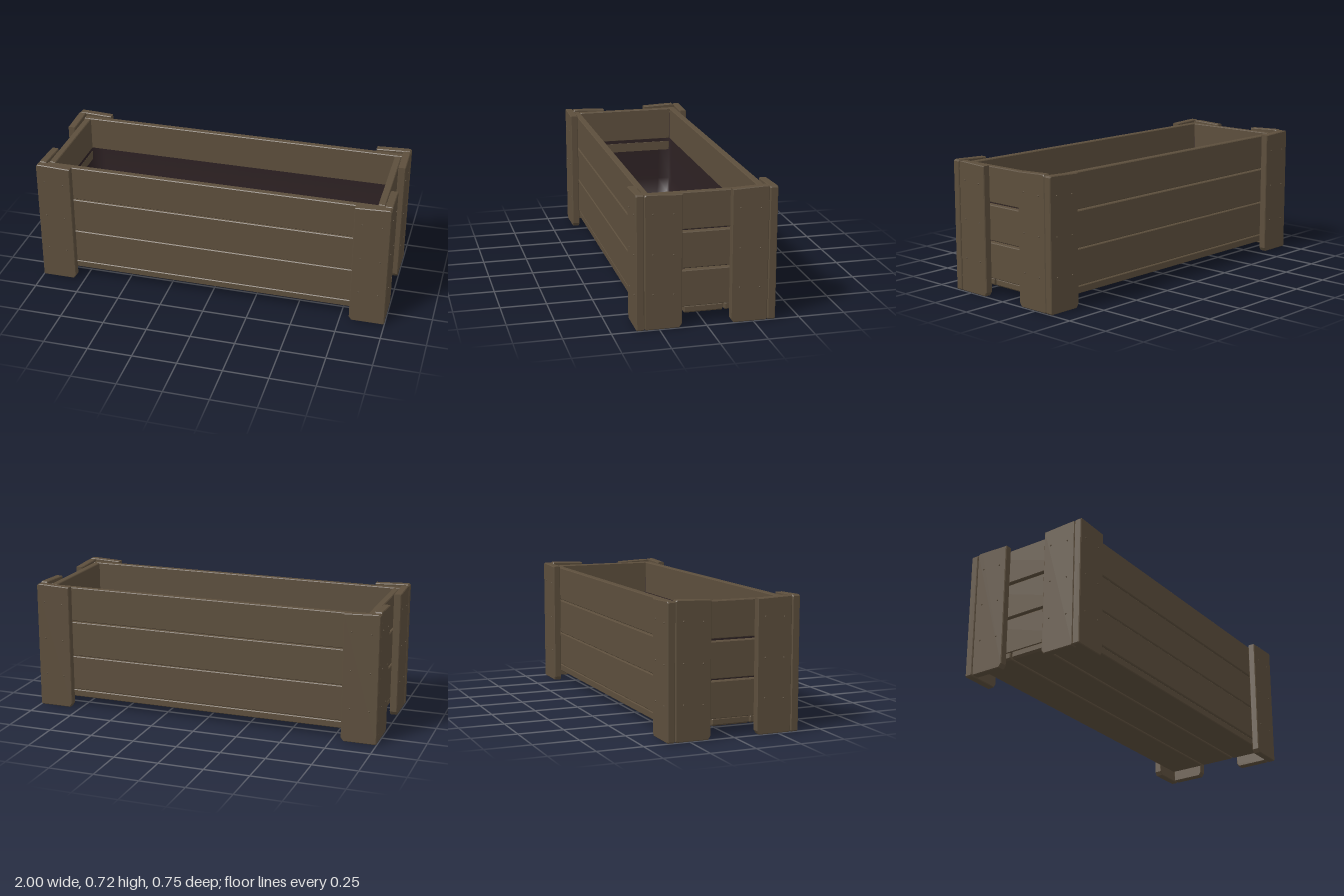
import * as THREE from 'three';

const wood = new THREE.MeshStandardMaterial({ color: 0x5c4e3c });
wood.name = 'weatheredWood';
const lining = new THREE.MeshStandardMaterial({ color: 0x2d2123, side: THREE.DoubleSide });
lining.name = 'darkLining';

// Board outline with clipped corners and bevelled edges; corners run
// bottom-left, bottom-right, top-right, top-left as [cutX, cutY].
function boardGeometry(w, h, d, cuts, bevel = 0.004) {
  const x = w / 2 - bevel, y = h / 2 - bevel;
  const [a, b, c, e] = cuts;
  const shape = new THREE.Shape([
    [-x + a[0], -y], [x - b[0], -y], [x, -y + b[1]], [x, y - c[1]],
    [x - c[0], y], [-x + e[0], y], [-x, y - e[1]], [-x, -y + a[1]],
  ].map(p => new THREE.Vector2(...p)));
  const geo = new THREE.ExtrudeGeometry(shape, {
    depth: d - 2 * bevel, bevelEnabled: true, bevelSize: bevel, bevelThickness: bevel, bevelSegments: 1,
  });
  return geo.translate(0, 0, -d / 2 + bevel);
}

const plankCuts = Array(4).fill([0.002, 0.002]);
const floorCuts = [[0.01, 0.008], [0.01, 0.008], [0.002, 0.002], [0.002, 0.002]];
// Posts have a chipped lower inner corner and a top sloping down inwards
const innerRight = [[0.004, 0.004], [0.012, 0.018], [0.16, 0.007], [0.006, 0.006]];
const innerLeft = [innerRight[1], innerRight[0], innerRight[3], innerRight[2]];

function addMesh(parent, name, geo, mat, x, y, z) {
  const mesh = new THREE.Mesh(geo, mat);
  mesh.name = name;
  mesh.position.set(x, y, z);
  parent.add(mesh);
  return mesh;
}

// Upright corner board with two columns of nail heads, facing +z
function cornerPost(name, w, h, d, cuts) {
  const post = new THREE.Group();
  post.name = name;
  addMesh(post, name + 'Board', boardGeometry(w, h, d, cuts), wood, 0, h / 2, 0);
  const nail = new THREE.SphereGeometry(0.0045, 8, 6);
  for (const y of [0.188, 0.4, 0.613]) {
    for (const s of [-1, 1]) {
      addMesh(post, name + 'Nail', nail, wood, s * 0.054, y - s * 0.003, d / 2);
    }
  }
  return post;
}

// Liner lofted through rectangular rings down to a closed bottom
function linerGeometry() {
  const rings = [[0.917, 0.29, 0.682], [0.914, 0.288, 0.5], [0.91, 0.284, 0.25],
    [0.89, 0.265, 0.16], [0.82, 0.215, 0.125], [0.6, 0.12, 0.112]];
  const nx = 24, nz = 8, pos = [], idx = [];
  rings.forEach(([hx, hz, y], r) => {
    const add = (u, v) => {
      const wave = r === 0 ? 0.006 * Math.sin(u * 9 + v * 3) + 0.003 * Math.sin(u * 21) : 0;
      pos.push(u * hx, y + wave, v * hz);
    };
    for (let i = 0; i < nx; i++) add(-1 + 2 * i / nx, 1);
    for (let i = 0; i < nz; i++) add(1, 1 - 2 * i / nz);
    for (let i = 0; i < nx; i++) add(1 - 2 * i / nx, -1);
    for (let i = 0; i < nz; i++) add(-1, -1 + 2 * i / nz);
  });
  const n = 2 * (nx + nz);
  for (let r = 0; r < rings.length - 1; r++) {
    for (let i = 0; i < n; i++) {
      const a = r * n + i, b = r * n + (i + 1) % n;
      idx.push(a, b, a + n, b, b + n, a + n);
    }
  }
  const centre = pos.length / 3, last = (rings.length - 1) * n;
  pos.push(0, 0.11, 0);
  for (let i = 0; i < n; i++) idx.push(last + i, last + (i + 1) % n, centre);
  const geo = new THREE.BufferGeometry();
  geo.setAttribute('position', new THREE.Float32BufferAttribute(pos, 3));
  geo.setIndex(idx);
  geo.computeVertexNormals();
  return geo;
}

export function createModel() {
  const model = new THREE.Group();
  model.name = 'planterBox';

  // Long wall planks
  for (const [y0, y1] of [[0.1, 0.297], [0.302, 0.501], [0.508, 0.705]]) {
    for (const s of [-1, 1]) {
      addMesh(model, s > 0 ? 'frontPlank' : 'backPlank',
        boardGeometry(1.915, y1 - y0, 0.038, plankCuts), wood, 0, (y0 + y1) / 2, s * 0.307);
    }
  }

  // End wall planks
  for (const [y0, y1] of [[0.094, 0.29], [0.302, 0.496], [0.51, 0.705]]) {
    for (const s of [-1, 1]) {
      const end = addMesh(model, s > 0 ? 'leftEndPlank' : 'rightEndPlank',
        boardGeometry(0.576, y1 - y0, 0.038, plankCuts), wood, s * 0.932, (y0 + y1) / 2, 0);
      end.rotation.y = s * Math.PI / 2;
    }
  }

  // Floor boards running the length of the box
  for (const [z0, z1] of [[-0.322, -0.11], [-0.1, 0.107], [0.117, 0.322]]) {
    const floor = addMesh(model, 'floorBoard',
      boardGeometry(1.9, 0.04, z1 - z0, floorCuts), wood, 0, 0.075, (z0 + z1) / 2);
    floor.position.x = 0;
  }

  // Corner posts: one board on the long side and one on the end at each corner
  for (const sx of [-1, 1]) {
    for (const sz of [-1, 1]) {
      const face = cornerPost('sidePost', 0.198, 0.72, 0.042, sx * sz < 0 ? innerRight : innerLeft);
      face.position.set(sx * 0.9, 0, sz * 0.349);
      face.rotation.y = sz > 0 ? 0 : Math.PI;
      const end = cornerPost('endPost', 0.196, sz > 0 ? 0.717 : 0.724, 0.042, sx * sz > 0 ? innerRight : innerLeft);
      end.position.set(sx * 0.976, 0, sz * 0.228);
      end.rotation.y = sx * Math.PI / 2;
      model.add(face, end);
    }
  }

  addMesh(model, 'innerLiner', linerGeometry(), lining, 0, 0, 0);
  return model;
}
